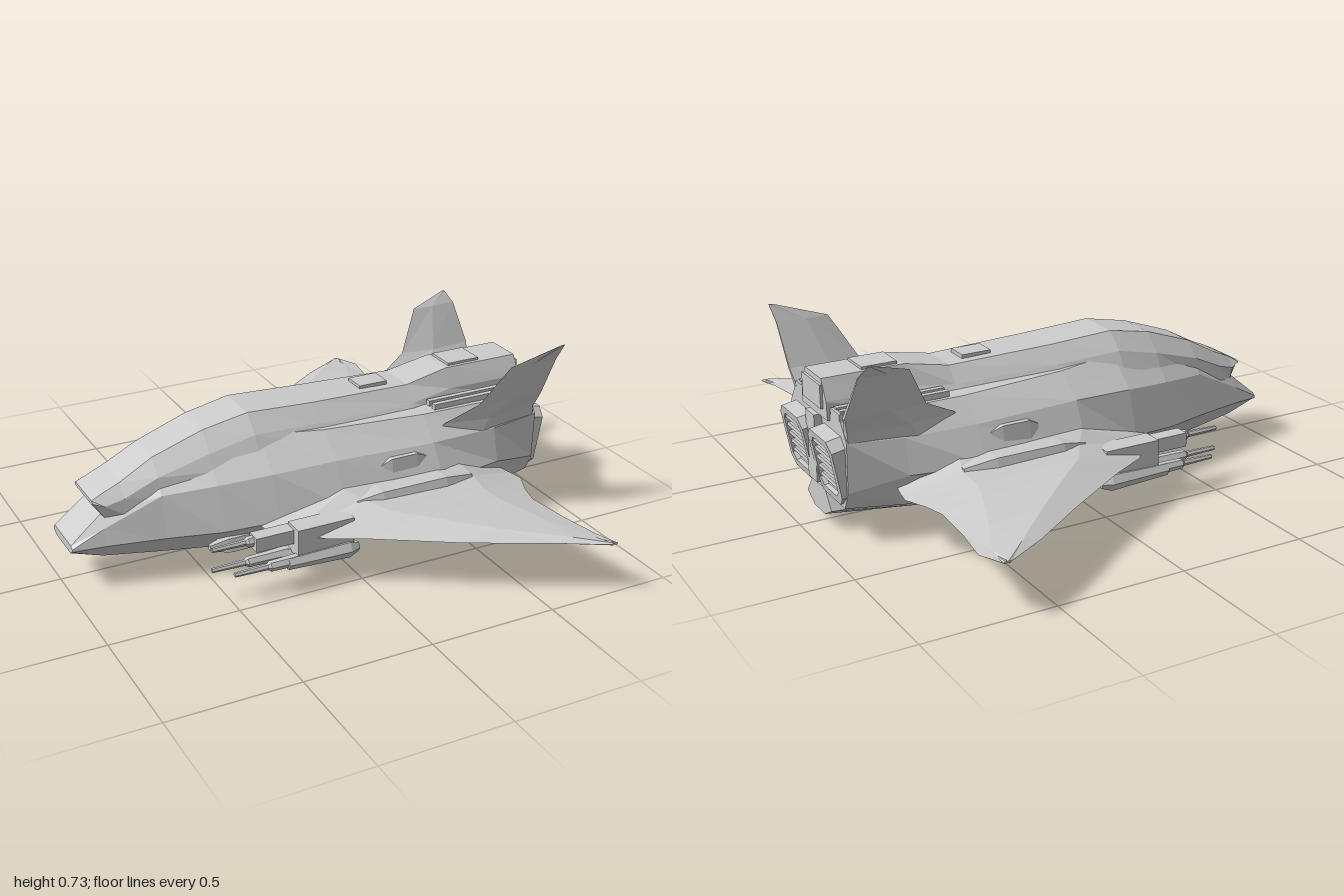
import * as THREE from 'three';

const mat = new THREE.MeshStandardMaterial({ color: 0xcccccc, flatShading: true, side: THREE.DoubleSide });

// Skin a list of equal-length closed rings and cap both ends
function loft(rings) {
  const n = rings[0].length, pos = rings.flat(2), idx = [];
  for (let i = 0; i < rings.length - 1; i++) {
    for (let j = 0; j < n; j++) {
      const a = i * n + j, b = i * n + (j + 1) % n;
      idx.push(a, b, a + n, b, b + n, a + n);
    }
  }
  const last = (rings.length - 1) * n;
  for (let j = 1; j < n - 1; j++) idx.push(0, j + 1, j, last, last + j, last + j + 1);
  // Turn the faces outward if the enclosed volume comes out negative
  const v = k => new THREE.Vector3().fromArray(pos, k * 3);
  let volume = 0;
  for (let k = 0; k < idx.length; k += 3) volume += v(idx[k]).dot(v(idx[k + 1]).cross(v(idx[k + 2])));
  if (volume < 0) idx.reverse();
  const g = new THREE.BufferGeometry();
  g.setAttribute('position', new THREE.Float32BufferAttribute(pos, 3));
  g.setIndex(idx);
  g.computeVertexNormals();
  return g;
}

function add(parent, name, geo, x = 0, y = 0, z = 0) {
  const m = new THREE.Mesh(geo, mat);
  m.name = name;
  m.position.set(x, y, z);
  parent.add(m);
  return m;
}

// Symmetric body: each station is x followed by (y, half width) pairs, bottom to top
function body(stations) {
  return loft(stations.map(([x, ...p]) => {
    const half = [];
    for (let i = 0; i < p.length; i += 2) half.push([x, p[i], p[i + 1]]);
    return [...half, ...half.map(([a, y, z]) => [a, y, -z]).reverse()];
  }));
}

// Six-sided rod along x made of (x, radius) steps
function rod(steps) {
  const g = new THREE.LatheGeometry(steps.map(([x, r]) => new THREE.Vector2(r, x)), 6);
  return g.rotateZ(-Math.PI / 2);
}

const roundRect = (p, w, h, c) => {
  const pts = [[-w + c, -h], [w - c, -h], [w, -h + c], [w, h - c], [w - c, h], [-w + c, h], [-w, h - c], [-w, -h + c]];
  return new p().setFromPoints([...pts, pts[0]].map(q => new THREE.Vector2(...q)));
};

// Swept wing; s is the side, tipX the tip position
function wing(s, tipX) {
  const rows = [ // z, leading x, trailing x, lower y, upper y, edge y
    [0.20, -0.34, 0.72, 0.13, 0.31, 0.20],
    [0.34, -0.31, 0.75, 0.135, 0.295, 0.20],
    [0.40, -0.25, 0.76, 0.145, 0.27, 0.20],
    [0.49, -0.15, 0.72, 0.155, 0.255, 0.20],
    [0.57, 0.00, 0.70, 0.165, 0.245, 0.20],
    [0.75, 0.28, 0.715, 0.18, 0.232, 0.203],
    [0.91, tipX - 0.19, 0.742, 0.193, 0.22, 0.205],
    [1.00, tipX - 0.03, tipX, 0.2, 0.21, 0.205],
  ];
  return loft(rows.map(([z, a, b, lo, hi, e]) => {
    const f = a + (b - a) * 0.3, r = a + (b - a) * 0.78;
    return [[a, e, z * s], [f, hi, z * s], [r, hi - 0.01, z * s], [b, e, z * s], [r, lo + 0.01, z * s], [f, lo, z * s]];
  }));
}

// Outward-leaning tail fin: a tapered plate; the right one has a bent rear edge
function fin(s) {
  const rear = s > 0 ? [0.90, 0.89, 0.90, 0.915, 0.93] : [0.90, 0.91, 0.93, 0.90, 0.875];
  const rows = [ // y, z, front x, half thickness
    [0.36, 0.235, 0.42, 0.05],
    [0.43, 0.255, 0.49, 0.037],
    [0.50, 0.295, 0.62, 0.02],
    [0.66, 0.36, 0.71, 0.007],
    [s > 0 ? 0.725 : 0.705, 0.39, rear[4] - 0.015, 0.003],
  ];
  return loft(rows.map(([y, z, a, t], i) => {
    const b = rear[i], m = a + (b - a) * 0.45;
    return [[a, y, z * s], [m, y, (z + t) * s], [b, y, (z + t * 0.4) * s], [b, y, (z - t * 0.4) * s], [m, y, (z - t) * s]];
  }));
}

// Blister tapered at both ends, leaning in towards the hull on its outer face
function blister(s, x, y, z, l, h, w) {
  const corners = [[-1, -1], [1, -1], [0.5, 1], [-1, 1]];
  const ring = (t, k) => corners.map(([u, v]) => [x + t * l, y + v * h / 2 * k, (z + u * w / 2 * k) * s]);
  return loft([ring(-0.5, 0.4), ring(-0.3, 1), ring(0.25, 1), ring(0.5, 0.4)]);
}

export function createModel() {
  const ship = new THREE.Group();
  ship.name = 'spaceship';

  add(ship, 'hull', body([
    [-0.98, 0.145, 0.08, 0.16, 0.105, 0.17, 0.105, 0.18, 0.09],
    [-0.86, 0.11, 0.09, 0.17, 0.135, 0.235, 0.12, 0.28, 0.085],
    [-0.65, 0.09, 0.12, 0.18, 0.195, 0.34, 0.165, 0.41, 0.09],
    [-0.45, 0.085, 0.17, 0.19, 0.265, 0.36, 0.22, 0.48, 0.11],
    [-0.25, 0.085, 0.20, 0.21, 0.315, 0.38, 0.265, 0.49, 0.14],
    [0.0, 0.10, 0.24, 0.24, 0.36, 0.39, 0.285, 0.475, 0.18],
    [0.42, 0.11, 0.27, 0.25, 0.37, 0.38, 0.295, 0.465, 0.21],
    [0.70, 0.12, 0.27, 0.25, 0.32, 0.38, 0.285, 0.465, 0.215],
    [0.91, 0.13, 0.22, 0.20, 0.255, 0.39, 0.26, 0.455, 0.215],
  ]));

  // Canopy with an overhanging brow, running back into the spine
  add(ship, 'canopyAndSpine', body([
    [-0.89, 0.325, 0.085, 0.333, 0.10, 0.34, 0.085],
    [-0.85, 0.27, 0.10, 0.32, 0.115, 0.36, 0.085],
    [-0.78, 0.28, 0.13, 0.34, 0.125, 0.39, 0.085],
    [-0.65, 0.33, 0.15, 0.40, 0.135, 0.46, 0.08],
    [-0.45, 0.40, 0.18, 0.46, 0.15, 0.53, 0.085],
    [-0.27, 0.42, 0.20, 0.50, 0.155, 0.565, 0.09],
    [0.0, 0.42, 0.20, 0.49, 0.15, 0.552, 0.09],
    [0.42, 0.42, 0.18, 0.48, 0.13, 0.54, 0.08],
    [0.60, 0.42, 0.14, 0.50, 0.11, 0.575, 0.075],
    [0.92, 0.43, 0.12, 0.50, 0.115, 0.575, 0.075],
  ]));
  add(ship, 'spineHatch', new THREE.BoxGeometry(0.12, 0.02, 0.09), 0.29, 0.547);
  add(ship, 'rearHatch', new THREE.BoxGeometry(0.14, 0.02, 0.12), 0.69, 0.575);
  add(ship, 'spineTailCap', new THREE.BoxGeometry(0.05, 0.09, 0.17), 0.905, 0.51);

  // Belly keel
  add(ship, 'keel', body([
    [-0.50, 0.08, 0.03, 0.085, 0.06, 0.12, 0.06],
    [-0.18, 0.065, 0.04, 0.08, 0.09, 0.13, 0.10],
    [0.07, 0.005, 0.05, 0.06, 0.11, 0.13, 0.14],
    [0.55, 0.0, 0.055, 0.06, 0.12, 0.14, 0.15],
    [0.92, 0.045, 0.05, 0.08, 0.115, 0.15, 0.06],
  ]));

  // Block joining the two engines
  add(ship, 'engineBridge', new THREE.BoxGeometry(0.08, 0.26, 0.08), 0.9, 0.3);

  for (const s of [1, -1]) {
    const side = new THREE.Group();
    side.name = s > 0 ? 'leftSide' : 'rightSide';
    ship.add(side);

    add(side, 'wing', wing(s, s > 0 ? 0.77 : 0.70));
    add(side, 'tailFin', fin(s));

    // Engine frame with recessed slats
    const engine = new THREE.Group();
    engine.name = 'engine';
    engine.position.set(0.935, 0.27, 0.135 * s);
    engine.rotation.z = -0.18;
    side.add(engine);
    const frame = roundRect(THREE.Shape, 0.11, 0.125, 0.035);
    frame.holes.push(roundRect(THREE.Path, 0.082, 0.098, 0.025));
    const frameGeo = new THREE.ExtrudeGeometry(frame, { depth: 0.1, bevelEnabled: false });
    add(engine, 'engineFrame', frameGeo.rotateY(Math.PI / 2), -0.09);
    add(engine, 'engineBack', new THREE.BoxGeometry(0.02, 0.22, 0.19), -0.06);
    for (let i = 0; i < 5; i++) {
      add(engine, 'engineSlat', new THREE.BoxGeometry(0.06, 0.013, 0.164), -0.025, -0.07 + i * 0.035).rotation.z = 0.35;
    }

    // Twin rails on the rear deck
    for (const z of [0.145, 0.185]) {
      add(side, 'deckRail', new THREE.BoxGeometry(0.42, 0.03, 0.022), 0.69, 0.472, z * s);
    }
    add(side, 'deckRailCap', new THREE.BoxGeometry(0.08, 0.04, 0.08), 0.87, 0.46, 0.165 * s);

    // Fairing over the wing root, flank vent and belly pods
    add(side, 'wingRootFairing', blister(s, 0.28, 0.255, 0.39, 0.5, 0.07, 0.11));
    add(side, 'flankVent', blister(s, 0.28, 0.33, 0.31, 0.2, 0.07, 0.05));
    add(side, 'forwardBellyPod', blister(s, -0.32, 0.125, 0.24, 0.36, 0.05, 0.05));
    add(side, 'rearBellyPod', blister(s, 0.35, 0.13, 0.28, 0.24, 0.05, 0.07));

    // Guns under and ahead of the wing root
    const barrel = [[-0.2, 0], [-0.2, 0.009], [-0.07, 0.012], [-0.06, 0.02], [0.1, 0.024], [0.12, 0]];
    add(side, 'upperGun', rod(barrel), -0.36, 0.21, 0.40 * s);
    add(side, 'upperGunBody', new THREE.BoxGeometry(0.16, 0.055, 0.06), -0.32, 0.205, 0.405 * s);
    for (const [x, z] of [[-0.30, 0.46], [-0.36, 0.395]]) {
      add(side, 'lowerGun', rod(barrel), x, 0.125, z * s);
      add(side, 'lowerGunBody', rod([[-0.1, 0], [-0.09, 0.026], [0.16, 0.036], [0.2, 0.02], [0.2, 0]]), -0.2, 0.12, z * s);
    }
    add(side, 'gunPylon', new THREE.BoxGeometry(0.23, 0.11, 0.085), -0.135, 0.19, 0.427 * s);
  }
  return ship;
}
